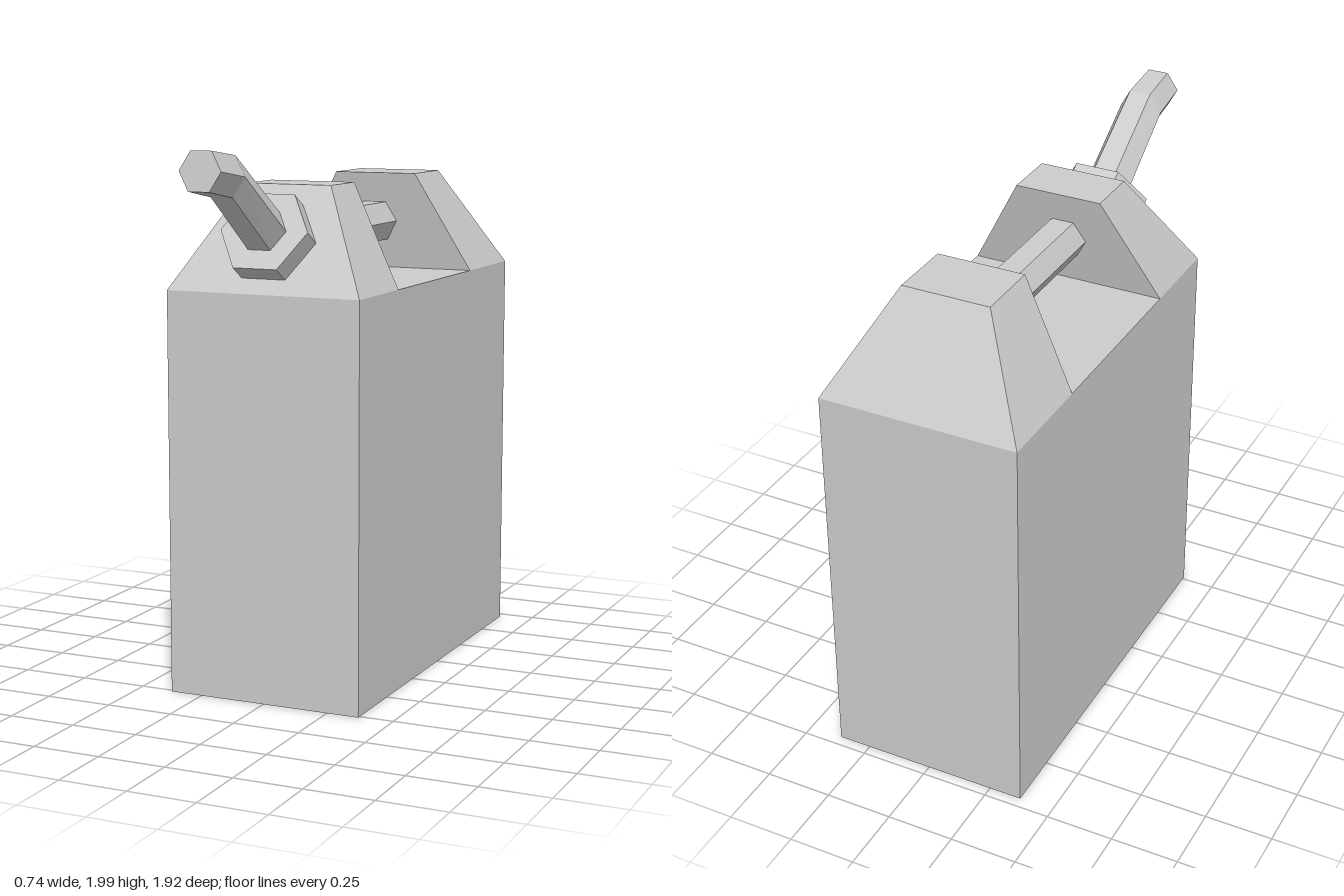
import * as THREE from 'three';

const material = new THREE.MeshStandardMaterial({ color: 0xcccccc, flatShading: true });

// Skins a list of equal-length rings (counterclockwise seen from the far end).
function loft(name, rings, capStart = true) {
  const pos = [];
  const tri = (...pts) => pts.forEach((p) => pos.push(p.x, p.y, p.z));
  const n = rings[0].length;
  for (let r = 0; r < rings.length - 1; r++) {
    const a = rings[r], b = rings[r + 1];
    for (let i = 0; i < n; i++) {
      const j = (i + 1) % n;
      tri(a[i], a[j], b[j]);
      tri(a[i], b[j], b[i]);
    }
  }
  const first = rings[0], last = rings[rings.length - 1];
  for (let i = 1; i < n - 1; i++) {
    tri(last[0], last[i], last[i + 1]);
    if (capStart) tri(first[0], first[i + 1], first[i]);
  }
  const geometry = new THREE.BufferGeometry();
  geometry.setAttribute('position', new THREE.Float32BufferAttribute(pos, 3));
  geometry.computeVertexNormals();
  const mesh = new THREE.Mesh(geometry, material);
  mesh.name = name;
  return mesh;
}

// Horizontal rectangle at height y, from zBack to zFront.
const rect = (y, halfWidth, zBack, zFront) => [
  new THREE.Vector3(-halfWidth, y, zFront),
  new THREE.Vector3(halfWidth, y, zFront),
  new THREE.Vector3(halfWidth, y, zBack),
  new THREE.Vector3(-halfWidth, y, zBack),
];

// Hexagon facing forward and tilted up by the given angle.
function hex(y, z, radius, tilt, x = -0.007) {
  return Array.from({ length: 6 }, (_, k) => {
    const u = radius * Math.cos((k * Math.PI) / 3);
    const v = radius * Math.sin((k * Math.PI) / 3);
    return new THREE.Vector3(x + u, y + v * Math.cos(tilt), z - v * Math.sin(tilt));
  });
}

export function createModel() {
  const group = new THREE.Group();
  group.name = 'fuelCan';
  const W = 0.372, TOP_W = 0.165, DECK = 1.477, TOP = 1.848;

  // Tank
  group.add(loft('tank', [rect(0, W, -0.96, 0.513), rect(DECK, W, -0.96, 0.513)]));

  // Shoulders, overhanging towards the handle
  group.add(loft('frontShoulder', [rect(DECK, W, 0.167, 0.513), rect(TOP, TOP_W, 0.087, 0.29)], false));
  group.add(loft('rearShoulder', [rect(DECK, W, -0.96, -0.557), rect(TOP, TOP_W, -0.74, -0.493)], false));

  // Handle bar between the shoulders
  group.add(loft('handle', [hex(1.661, -0.56, 0.085, 0), hex(1.661, 0.17, 0.085, 0)]));

  // Collar and bent spout, square to the sloping front
  const slope = 0.546;
  group.add(loft('spoutCollar', [hex(1.648, 0.397, 0.168, slope), hex(1.696, 0.476, 0.168, slope)]));
  group.add(loft('spout', [
    hex(1.69, 0.466, 0.086, slope),
    hex(1.902, 0.783, 0.082, 0.15),
    hex(1.927, 0.948, 0.078, 0.15),
  ]));

  return group;
}
